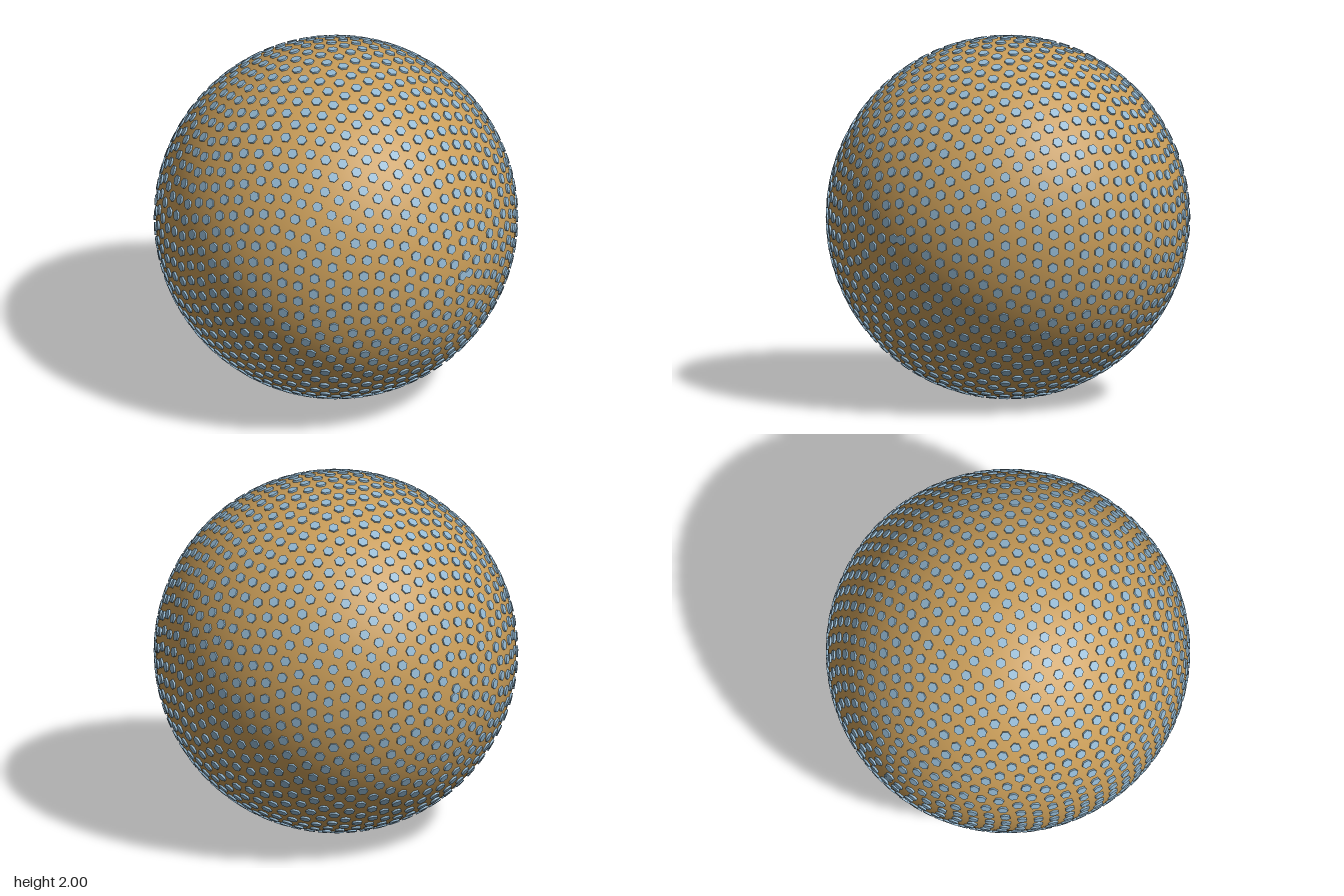
import * as THREE from 'three';
import { mergeGeometries } from 'three/addons/utils/BufferGeometryUtils.js';

const RADIUS = 0.99;      // smooth ball
const STUD_TOP = 1.0;     // outer face of the studs
const STUD_RADIUS = 0.029;
const STUD_COUNT = 1500;

// Evenly spaced directions on a spiral running from the back pole to the front pole
function spiralDirections(count) {
  const directions = [];
  let angle = 0;
  for (let i = 0; i < count; i++) {
    const z = -1 + (2 * i) / (count - 1);
    const ring = Math.sqrt(Math.max(0, 1 - z * z));
    angle = ring < 1e-6 ? 0 : angle + 3.6 / (Math.sqrt(count) * ring);
    directions.push(new THREE.Vector3(ring * Math.cos(angle), ring * Math.sin(angle), z));
  }
  return directions;
}

export function createModel() {
  const ochre = new THREE.MeshStandardMaterial({ color: 0xc89c58 });
  ochre.name = 'ochre';
  const paleBlue = new THREE.MeshStandardMaterial({ color: 0x93b8d2 });
  paleBlue.name = 'pale blue';

  const group = new THREE.Group();
  group.name = 'studdedBall';

  // Smooth ball
  const ball = new THREE.Mesh(new THREE.SphereGeometry(RADIUS, 96, 64), ochre);
  ball.name = 'ball';
  ball.position.y = 1;
  group.add(ball);

  // Flat six-sided studs, each facing straight out of the ball
  const depth = 0.02;
  const stud = new THREE.CylinderGeometry(STUD_RADIUS, STUD_RADIUS, depth, 6);
  stud.rotateX(Math.PI / 2);
  stud.translate(0, 0, STUD_TOP - depth / 2);
  const outward = new THREE.Vector3(0, 0, 1);
  const turn = new THREE.Quaternion();
  const pieces = spiralDirections(STUD_COUNT).map((direction) =>
    stud.clone().applyQuaternion(turn.setFromUnitVectors(outward, direction)));
  const studs = new THREE.Mesh(mergeGeometries(pieces), paleBlue);
  studs.name = 'studs';
  studs.position.y = 1;
  group.add(studs);

  return group;
}
